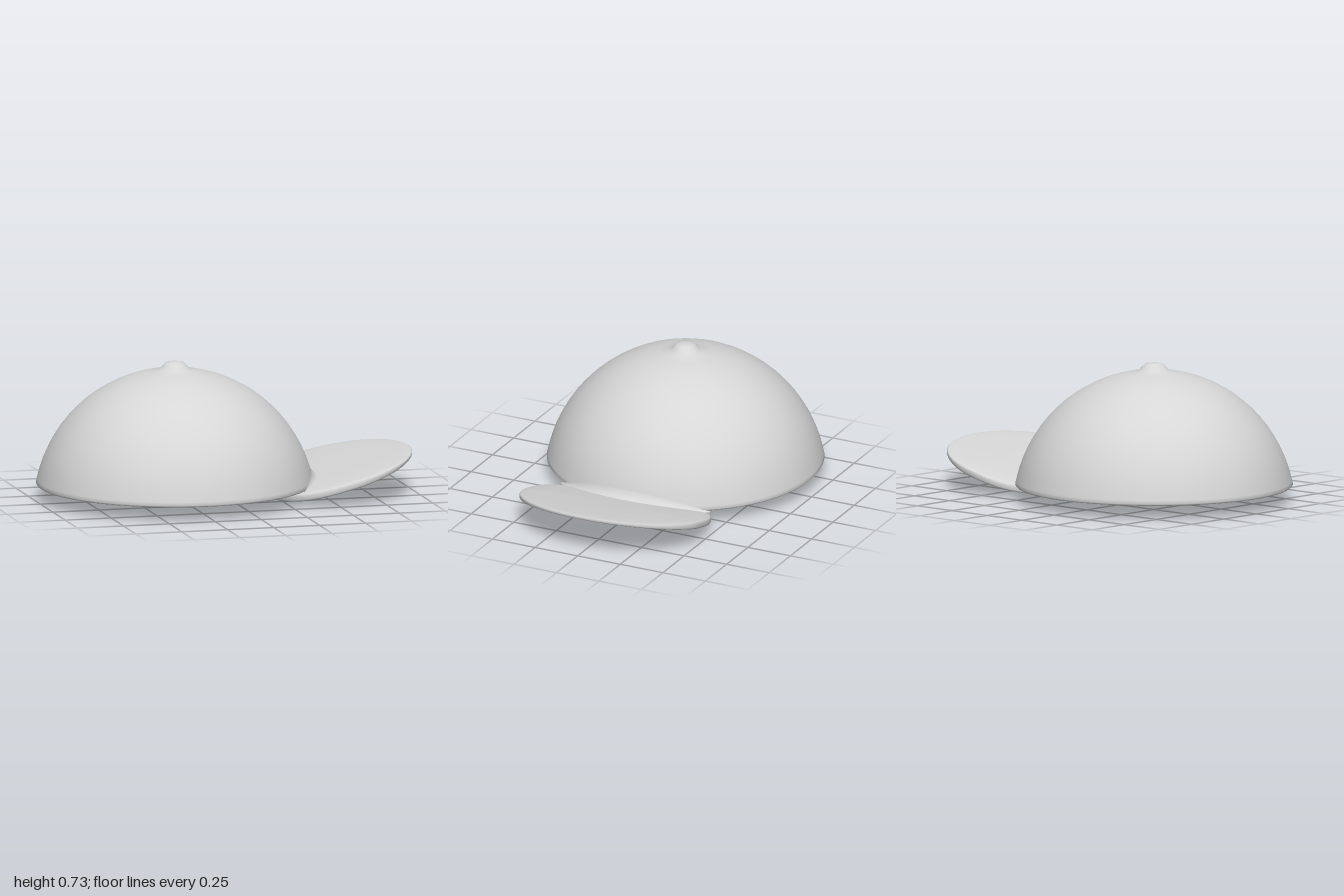
import * as THREE from 'three';
import { mergeVertices } from 'three/addons/utils/BufferGeometryUtils.js';

const CROWN_X = -0.27;      // crown axis
const R = 0.742, CY = -0.05; // crown sphere radius and centre height
const crownRadius = (y) => Math.sqrt(R * R - (y - CY) ** 2);
const brimMid = (x) => 0.018 + 0.257 * (x - 0.21);

// Move every vertex by a rule, then smooth the result
function reshape(geometry, rule) {
  geometry.deleteAttribute('normal');
  geometry.deleteAttribute('uv');
  const p = geometry.attributes.position;
  for (let i = 0; i < p.count; i++) {
    p.setXYZ(i, ...rule(p.getX(i), p.getY(i), p.getZ(i)));
  }
  const merged = mergeVertices(geometry, 1e-5);
  merged.computeVertexNormals();
  return merged;
}

export function createModel() {
  const group = new THREE.Group();
  const cloth = new THREE.MeshStandardMaterial({ color: 0xd6d6d6 });
  cloth.name = 'light grey cloth';
  const add = (name, geometry) => {
    const mesh = new THREE.Mesh(geometry, cloth);
    mesh.name = name;
    group.add(mesh);
    return mesh;
  };

  // Hollow crown: inside from the apex down, round the rim, outside up
  const profile = [];
  const inner = R - 0.045;
  for (let i = 0; i <= 14; i++) {
    const a = (i / 14) * 1.365;
    profile.push(new THREE.Vector2(inner * Math.sin(a), CY + inner * Math.cos(a)));
  }
  for (const [r, y] of [[0.69, 0.081], [0.705, 0.077], [0.722, 0.078], [0.73, 0.087]]) {
    profile.push(new THREE.Vector2(r, y));
  }
  for (let i = 0; i <= 15; i++) {
    const a = 1.36 + (0.115 - 1.36) * (i / 15);
    profile.push(new THREE.Vector2(R * Math.sin(a), CY + R * Math.cos(a)));
  }
  // Button blended into the top of the crown
  for (const [r, y] of [[0.066, 0.707], [0.048, 0.725], [0.025, 0.73], [0, 0.731]]) {
    profile.push(new THREE.Vector2(r, y));
  }
  add('crown', new THREE.LatheGeometry(profile, 64)).position.x = CROWN_X;

  // Brim: a lens-shaped disc with a blunter back half, tilted up outward
  const disc = [[0, -0.045], [0.4, -0.04], [0.75, -0.03], [0.93, -0.023], [0.99, -0.017], [1, -0.008],
    [1, 0.012], [0.99, 0.02], [0.93, 0.026], [0.75, 0.032], [0.4, 0.034], [0, 0.034]]
    .map(([r, y]) => new THREE.Vector2(r, y));
  add('brim', reshape(new THREE.LatheGeometry(disc, 64), (x, y, z) => {
    const s = Math.hypot(x, z);
    if (s < 1e-6) return [0.58, brimMid(0.58) + y, 0];
    const c = x / s, n = z / s, power = c < 0 ? 0.73 : 1;
    const bx = 0.58 + s * (c < 0 ? 0.37 : 0.42) * Math.sign(c) * Math.abs(c) ** power;
    const bz = s * 0.51 * Math.sign(n) * Math.abs(n) ** power;
    // Thinner towards the outer tip
    const thin = bx > 0.6 ? 1 - 1.3 * (bx - 0.6) : 1;
    return [bx, brimMid(bx) + y * thin, bz];
  }));

  // Soft concave seam where the crown runs into the brim
  add('brimSeam', reshape(new THREE.PlaneGeometry(1, 1, 32, 6), (u, v) => {
    const angle = u * 1.28;
    const size = 0.004 + 0.05 * (1 - (2 * u) ** 2);
    const t = (v + 0.5) * Math.PI / 2;
    const x0 = CROWN_X + 0.718 * Math.cos(angle);
    const y0 = brimMid(x0) + 0.03;
    const y = y0 + size * (1 - Math.cos(t));
    const r = crownRadius(y) + size * (1 - Math.sin(t));
    return [CROWN_X + r * Math.cos(angle), y, -r * Math.sin(angle)];
  }));

  return group;
}
